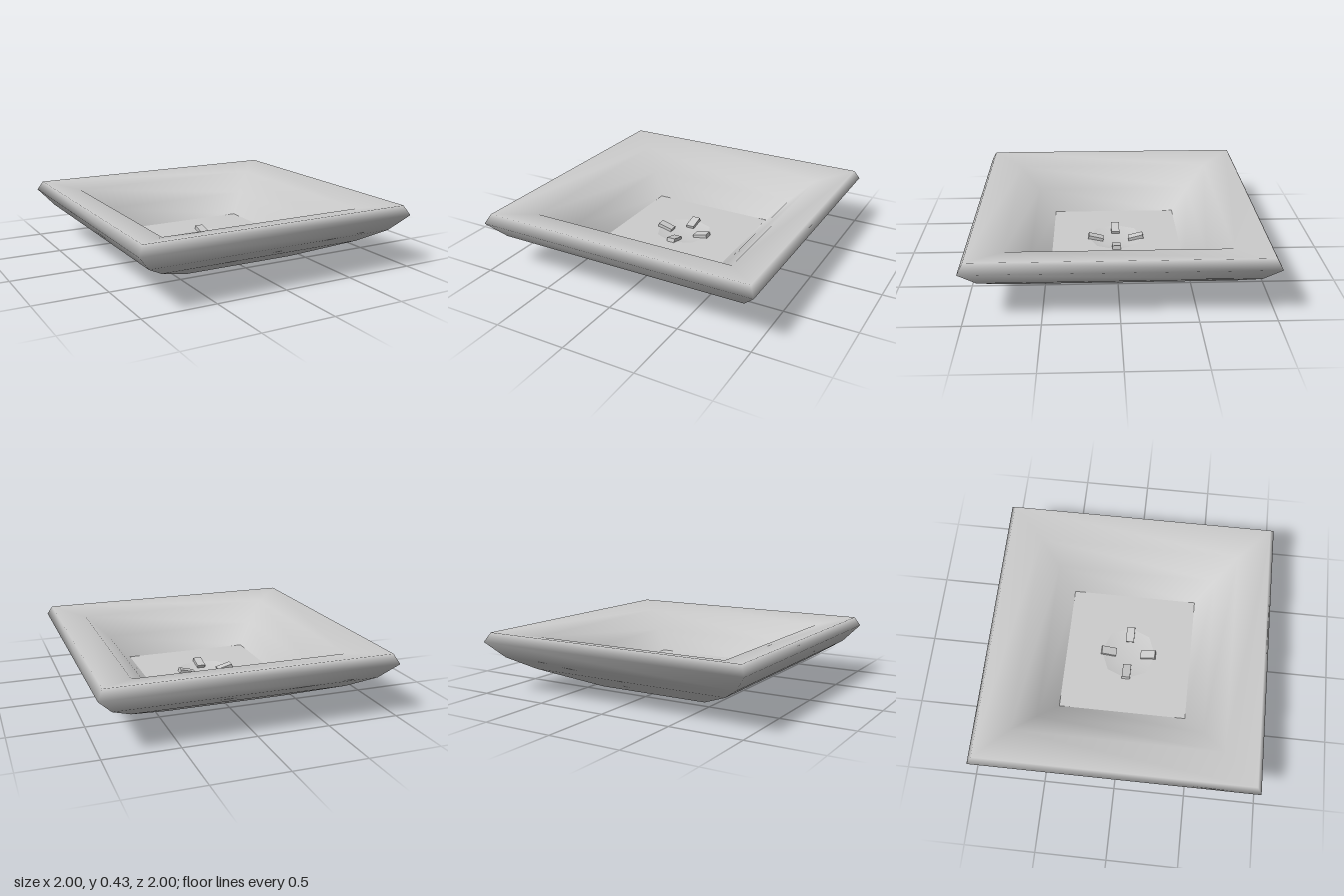
import * as THREE from 'three';

export function createModel() {
  const group = new THREE.Group();
  group.name = 'squareDish';
  const ceramic = new THREE.MeshStandardMaterial({ color: 0xcccccc });
  ceramic.name = 'light grey';

  const add = (geometry, name, parent = group) => {
    const mesh = new THREE.Mesh(geometry, ceramic);
    mesh.name = name;
    parent.add(mesh);
    return mesh;
  };
  const points = (list, scale = 1) => list.map(([r, y]) => new THREE.Vector2(r * scale, y));
  // Four-sided sweep: radii are half widths of the square
  const squareLathe = (list) =>
    new THREE.LatheGeometry(points(list, Math.SQRT2), 4, Math.PI / 4);

  // Flared outside, rolled rim and stepped inside
  add(squareLathe([
    [0.42, 0], [0.75, 0.155], [0.90, 0.25], [1, 0.365], [0.965, 0.43],
    [0.74, 0.385], [0.59, 0.25], [0.46, 0.11],
  ]), 'bowl');

  // Flat underside
  const underside = add(new THREE.PlaneGeometry(0.84, 0.84), 'underside');
  underside.rotation.x = Math.PI / 2;

  // Inside floor with an octagonal opening
  const floorShape = new THREE.Shape(points([[-0.46, -0.46], [0.46, -0.46], [0.46, 0.46], [-0.46, 0.46]]));
  const ring = [];
  for (let i = 0; i < 8; i++) {
    const a = -i * Math.PI / 4;
    ring.push(new THREE.Vector2(0.2 * Math.cos(a), 0.2 * Math.sin(a)));
  }
  floorShape.holes.push(new THREE.Path(ring));
  const floor = add(new THREE.ShapeGeometry(floorShape), 'floor');
  floor.rotation.x = -Math.PI / 2;
  floor.position.y = 0.11;

  // Shallow sunken centre
  add(new THREE.LatheGeometry(points([[0.2, 0.11], [0.11, 0.09], [0, 0.09]]), 8), 'recess');

  // Four tabs leaning in towards the centre
  for (let i = 0; i < 4; i++) {
    const arm = new THREE.Group();
    arm.name = 'tabArm';
    arm.rotation.y = i * Math.PI / 2;
    const tab = add(new THREE.BoxGeometry(0.11, 0.035, 0.06), 'tab', arm);
    tab.position.set(0.148, 0.107, 0);
    tab.rotation.z = 0.25;
    group.add(arm);
  }
  return group;
}
